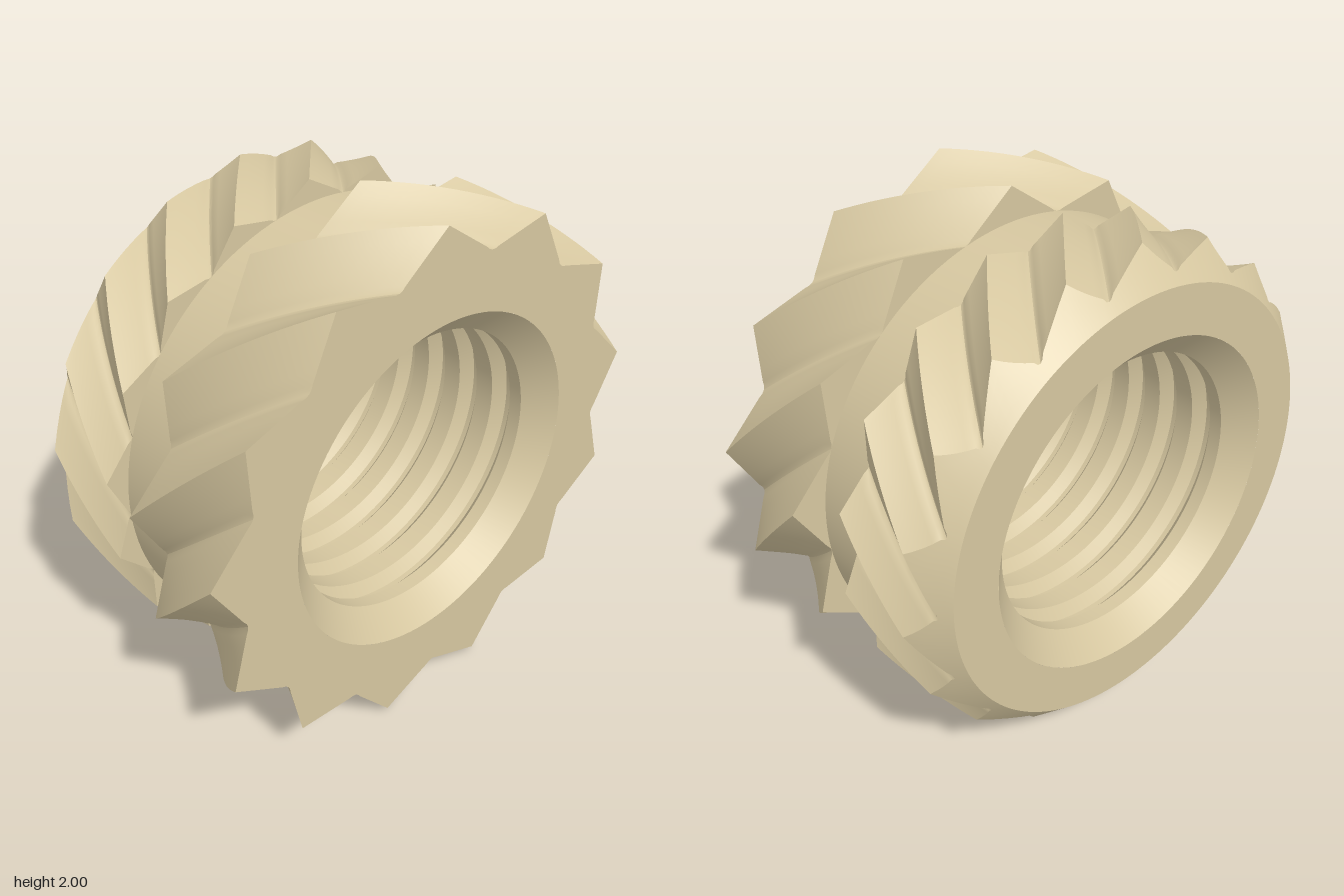
import * as THREE from 'three';
import { toCreasedNormals } from 'three/addons/utils/BufferGeometryUtils.js';

const CREASE = 0.5;

// Helical knurl: V-grooves with rounded roots, swept along z.
// rows(r) lists [radius, z] down one column whose knurl radius is r.
function knurl({ teeth, tip, root, phase, phaseZ, twist, rows }) {
  const pitch = (Math.PI * 2) / teeth;
  const a = 0.43 * pitch, foot = root + 0.012;
  const flank = (p) => (tip * foot * Math.sin(a)) / (tip * Math.sin(p) + foot * Math.sin(a - p));
  const half = [0, 0.11, 0.22, 0.33, 0.43, 0.465];
  const us = [...half, 0.5, ...half.slice(1).reverse().map((u) => 1 - u)];
  const radius = (u) => {
    const v = Math.min(u, 1 - u);
    if (v <= 0.43) return flank(v * pitch);
    return root + 0.012 * ((0.5 - v) / 0.07) ** 2;
  };
  const pos = [], index = [];
  const count = teeth * us.length;
  let n = 0;
  for (let i = 0; i < count; i++) {
    const u = us[i % us.length];
    const base = phase + (Math.floor(i / us.length) + u) * pitch;
    const column = rows(radius(u));
    n = column.length;
    for (const [r, z] of column) {
      const t = base + twist * (phaseZ - z);
      pos.push(r * Math.cos(t), r * Math.sin(t), z);
    }
  }
  for (let i = 0; i < count; i++) {
    const k = (i + 1) % count;
    for (let j = 0; j < n - 1; j++) {
      const p = i * n + j, q = k * n + j;
      index.push(p, p + 1, q, q, p + 1, q + 1);
    }
  }
  const g = new THREE.BufferGeometry();
  g.setAttribute('position', new THREE.Float32BufferAttribute(pos, 3));
  g.setIndex(index);
  return toCreasedNormals(g, CREASE);
}

// Evenly spaced [r, z] rows from one z to another
function span(r, z0, z1, steps) {
  return Array.from({ length: steps + 1 }, (_, i) => [r, z0 + ((z1 - z0) * i) / steps]);
}

// Surface of revolution about z from [radius, z] points
function turned(points) {
  const g = new THREE.LatheGeometry(points.map(([r, z]) => new THREE.Vector2(r, z)), 128);
  g.rotateX(Math.PI / 2);
  return toCreasedNormals(g, CREASE);
}

export function createModel() {
  const brass = new THREE.MeshStandardMaterial({ color: 0xd6c7a0 });
  brass.name = 'paleBrass';
  const model = new THREE.Group();
  model.name = 'threadedInsert';
  const body = new THREE.Group();
  body.position.y = 1;
  model.add(body);
  const add = (name, geometry) => {
    const mesh = new THREE.Mesh(geometry, brass);
    mesh.name = name;
    body.add(mesh);
  };

  // Wide front knurl with its end face
  add('frontKnurl', knurl({
    teeth: 13, tip: 1, root: 0.87, twist: 1.05,
    phase: THREE.MathUtils.degToRad(91.3), phaseZ: 0.54,
    rows: (r) => [[0.65, 0.54], ...span(r, 0.54, 0.11, 14), [0.8, 0.11]],
  }));

  // Rear knurl, twisted the other way and cut by a 45 degree chamfer
  add('rearKnurl', knurl({
    teeth: 18, tip: 0.955, root: 0.87, twist: -0.95,
    phase: Math.PI / 2, phaseZ: -0.5,
    rows: (r) => {
      const cut = -0.54 + (r - 0.835);
      const cone = span(r, cut, -0.54, 4).slice(1).map(([, z]) => [0.835 + z + 0.54, z]);
      return [[0.8, -0.09], ...span(r, -0.09, cut, 12), ...cone, [0.65, -0.54]];
    },
  }));

  // Plain neck between the knurls
  add('neck', turned([[0.87, -0.09], [0.87, 0.11]]));

  // Countersunk bore with thread grooves
  const bore = [[0.65, 0.54], [0.55, 0.44]];
  for (let i = -2; i <= 2; i++) {
    const z = -0.17 * i;
    bore.push([0.55, z + 0.045], [0.595, z + 0.01], [0.595, z - 0.01], [0.55, z - 0.045]);
  }
  bore.push([0.55, -0.44], [0.65, -0.54]);
  add('threadedBore', turned(bore));

  return model;
}
